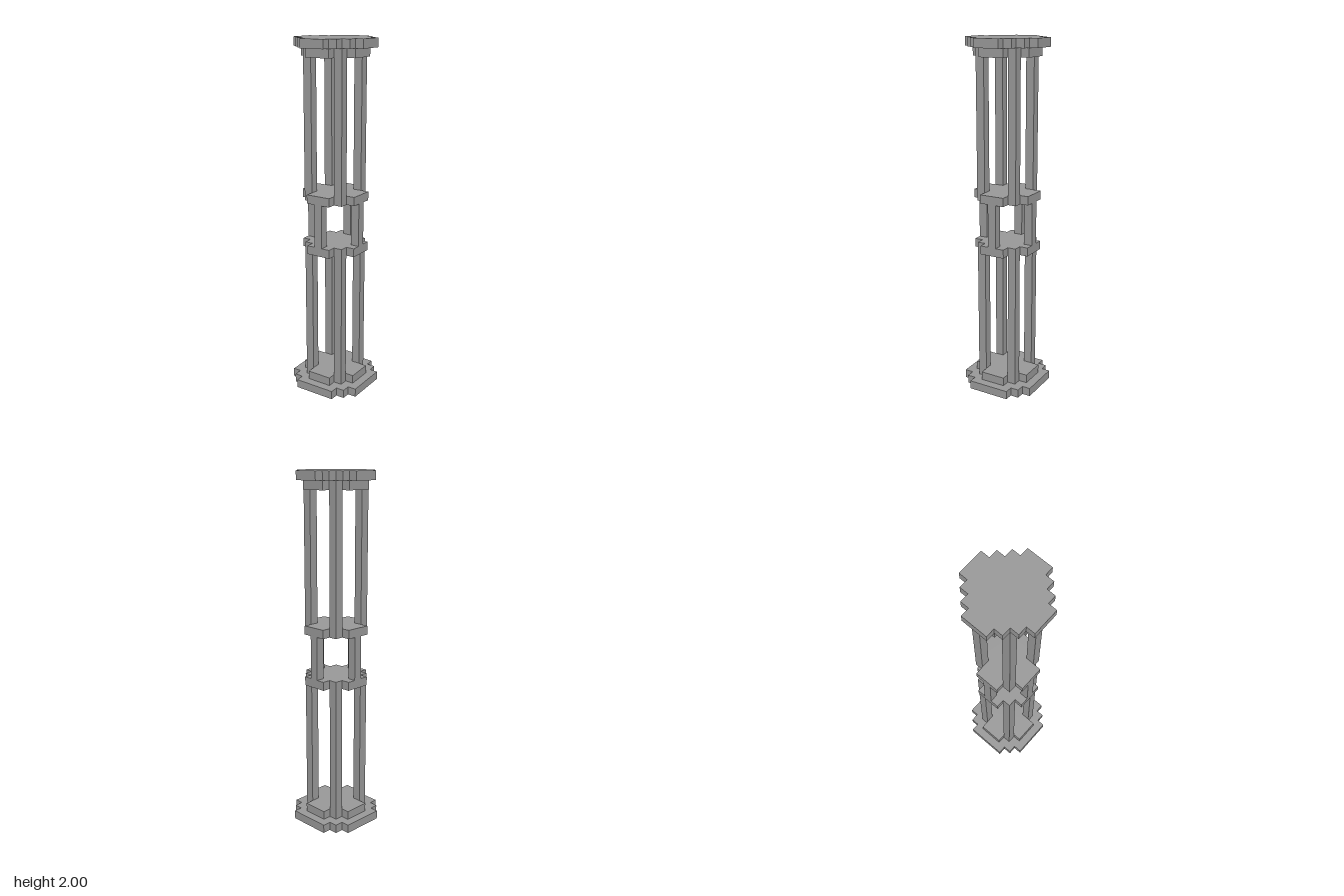
import * as THREE from 'three';

// One block: the column is 41 blocks high
const U = 2 / 41;
const material = new THREE.MeshStandardMaterial({ color: 0x999999, flatShading: true });

// Stepped octagonal slab, one block thick; tip = half width of the flat side, in blocks
function slab(name, reach, tip, level) {
  // staircase over the first quadrant, from the +x side to the +y side
  const quarter = [];
  for (let x = reach, y = tip; x >= tip; x--, y++) {
    quarter.push([x, y]);
    if (x > tip) quarter.push([x - 1, y]);
  }
  const points = [];
  for (let q = 0; q < 4; q++) {
    for (const [x, y] of quarter) {
      const [a, b] = [[x, y], [-y, x], [-x, -y], [y, -x]][q];
      points.push(new THREE.Vector2(a * U, b * U));
    }
  }
  const geometry = new THREE.ExtrudeGeometry(new THREE.Shape(points), { depth: U, bevelEnabled: false });
  geometry.rotateX(-Math.PI / 2);
  const mesh = new THREE.Mesh(geometry, material);
  mesh.name = name;
  mesh.position.y = level * U;
  return mesh;
}

// Square post, one block wide, between two levels
function post(name, x, z, from, to) {
  const mesh = new THREE.Mesh(new THREE.BoxGeometry(U, (to - from) * U, U), material);
  mesh.name = name;
  mesh.position.set(x * U, ((from + to) / 2) * U, z * U);
  return mesh;
}

export function createModel() {
  const model = new THREE.Group();
  model.name = 'column';

  // Base, middle cage plates and capital
  model.add(
    slab('basePlate', 4.5, 2.5, 0),
    slab('baseStep', 3.5, 1.5, 1),
    slab('cageFloor', 3.5, 1.5, 17),
    slab('cageRoof', 3.5, 1.5, 23),
    slab('capitalStep', 3.5, 1.5, 39),
    slab('capitalPlate', 4.5, 1.5, 40)
  );

  // Long poles on the diagonals, below and above the cage
  for (const x of [-2, 2]) {
    for (const z of [-2, 2]) {
      model.add(post('lowerPole', x, z, 2, 17), post('upperPole', x, z, 24, 39));
    }
  }

  // Short cage posts in the middle of each side
  for (const [x, z] of [[3, 0], [-3, 0], [0, 3], [0, -3]]) {
    model.add(post('cagePost', x, z, 18, 23));
  }
  return model;
}
